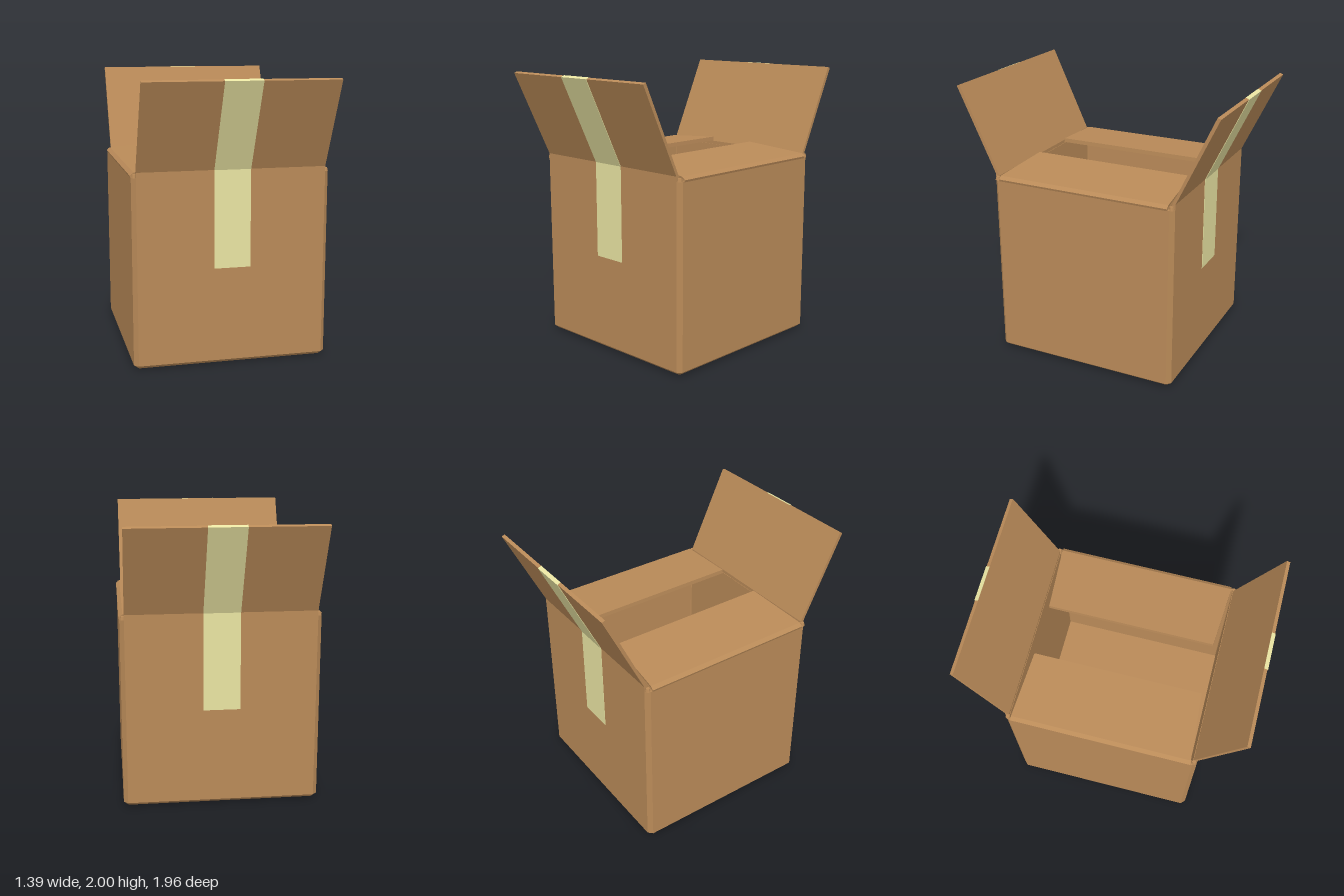
import * as THREE from 'three';

const HALF = 0.69, WALL = 0.03, RIM = 1.345;
const card = new THREE.MeshStandardMaterial({ color: 0xb98a58, flatShading: true });
const tapeMat = new THREE.MeshStandardMaterial({ color: 0xe9e4a2, flatShading: true });

// Square ring with cut corners
function ring(half, cut, y) {
  const m = half - cut;
  return [[half, -m], [half, m], [m, half], [-m, half], [-half, m], [-half, -m], [-m, -half], [m, -half]]
    .map(([x, z]) => [x, y, z]);
}

// Skin between successive rings
function loft(rings) {
  const pos = [];
  for (let i = 0; i < rings.length - 1; i++) {
    for (let j = 0; j < 8; j++) {
      const k = (j + 1) % 8;
      const a = rings[i][j], b = rings[i][k], c = rings[i + 1][j], d = rings[i + 1][k];
      pos.push(...a, ...c, ...b, ...b, ...c, ...d);
    }
  }
  const g = new THREE.BufferGeometry();
  g.setAttribute('position', new THREE.Float32BufferAttribute(pos, 3));
  g.computeVertexNormals();
  return g;
}

// Profile drawn as (outward, up), extruded along the box edge
function panel(profile, width) {
  const shape = new THREE.Shape(profile.map(([x, y]) => new THREE.Vector2(x, y)));
  const g = new THREE.ExtrudeGeometry(shape, { depth: width, bevelEnabled: false });
  return g.translate(0, 0, -width / 2);
}

export function createModel() {
  const model = new THREE.Group();
  const add = (name, geometry, material, turn = 0) => {
    const mesh = new THREE.Mesh(geometry, material);
    mesh.name = name;
    mesh.rotation.y = turn;
    model.add(mesh);
  };

  // Hollow carton with bevelled edges and a floor
  const inner = HALF - WALL;
  add('boxBody', loft([
    ring(0, 0, 0), ring(inner, 0.01, 0.005), ring(HALF, WALL, WALL),
    ring(HALF, WALL, RIM), ring(inner, 0.005, RIM),
    ring(inner, 0.005, WALL), ring(0, 0, WALL),
  ]), card);

  // Raised front and back flaps, hinged on the rim
  const openFlap = panel([
    [0.69, RIM - 0.005], [0.69, 1.38], [0.978, 1.988], [0.955, 1.998], [0.663, 1.37], [0.663, RIM - 0.005],
  ], 1.32);

  // Tape running up the wall, over the bend and across the flap's end
  const tape = panel([
    [0.689, 0.695], [0.693, 0.695], [0.693, 1.379], [0.982, 1.989], [0.956, 2.0],
    [0.955, 1.997], [0.977, 1.987], [0.689, 1.38],
  ], 0.256);

  // Side flaps folded inward, narrowing toward their free ends
  const foldedFlap = panel([
    [0.69, RIM - 0.005], [0.695, 1.355], [0.668, 1.375], [0.19, 1.415], [0.188, 1.385], [0.655, RIM],
  ], 1.29);
  const p = foldedFlap.attributes.position;
  for (let i = 0; i < p.count; i++) {
    if (p.getX(i) < 0.5) p.setZ(i, p.getZ(i) * 0.945);
  }
  foldedFlap.computeVertexNormals();

  // Small bevelled stubs at the four rim corners
  const stub = new THREE.CylinderGeometry(0.014, 0.02, 0.025, 8);

  for (const s of [1, -1]) {
    const end = s > 0 ? 'front' : 'back', side = s > 0 ? 'left' : 'right';
    add(end + 'Flap', openFlap, card, -s * Math.PI / 2);
    add(end + 'Tape', tape, tapeMat, -s * Math.PI / 2);
    add(side + 'Flap', foldedFlap, card, s > 0 ? 0 : Math.PI);
    for (const t of [1, -1]) {
      add(end + 'RimCorner', stub.clone().translate(t * 0.668, RIM + 0.01, s * 0.668), card);
    }
  }
  return model;
}
